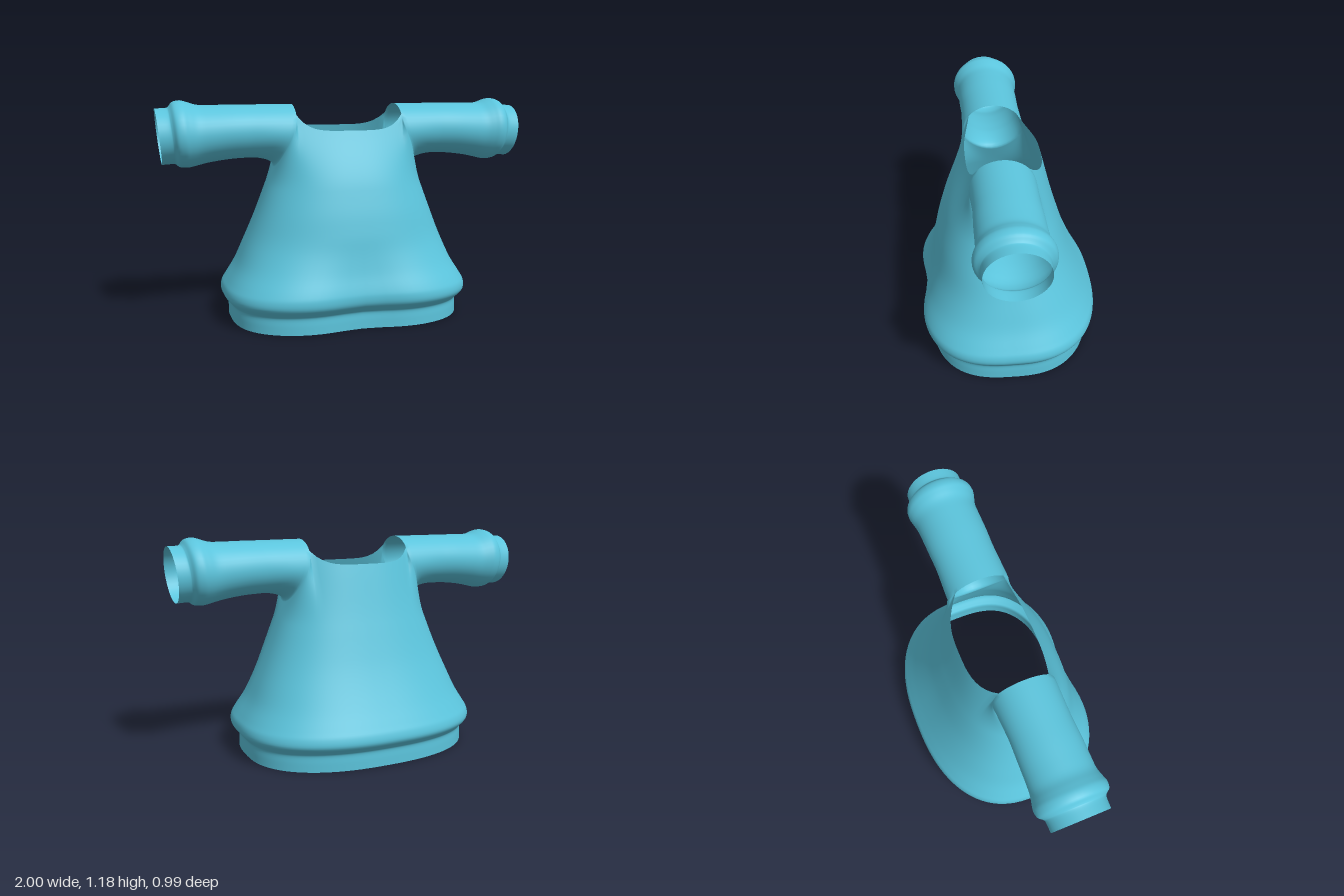
import * as THREE from 'three';
import { mergeGeometries, mergeVertices } from 'three/addons/utils/BufferGeometryUtils.js';

const N = 96;            // columns around the body
const CORNER = 14;       // column where neckline meets sleeve
const TOP_STEPS = 12;    // columns over the shoulder
const CY = 1.017, CZ = 0.047; // sleeve axis
const V = (x, y, z) => new THREE.Vector3(x, y, z);
const smooth = t => t * t * (3 - 2 * t);

// Cubic between two points with given end tangents
function hermite(p, q, tp, tq, t) {
  const t2 = t * t, t3 = t2 * t;
  return V(0, 0, 0)
    .addScaledVector(p, 2 * t3 - 3 * t2 + 1).addScaledVector(tp, t3 - 2 * t2 + t)
    .addScaledVector(q, 3 * t2 - 2 * t3).addScaledVector(tq, t3 - t2);
}

// Sheet from rows of points
function grid(rows, flip = false) {
  const pos = [], index = [], w = rows[0].length;
  rows.forEach(row => row.forEach(p => pos.push(p.x, p.y, p.z)));
  for (let r = 0; r < rows.length - 1; r++) {
    for (let c = 0; c < w - 1; c++) {
      const a = r * w + c, b = a + 1, d = a + w, e = d + 1;
      if (flip) index.push(a, b, d, b, e, d);
      else index.push(a, d, b, b, d, e);
    }
  }
  const g = new THREE.BufferGeometry();
  g.setAttribute('position', new THREE.Float32BufferAttribute(pos, 3));
  g.setIndex(index);
  return g;
}

// Angle round the sleeve: k = 0 is the armpit, +-CORNER the neck corners
function sleeveAngle(k) {
  const deg = k <= CORNER ? 270 + 127 * k / CORNER : 37 + 106 * (k - CORNER) / TOP_STEPS;
  return THREE.MathUtils.degToRad(deg);
}

// Edge where the sleeve starts: armhole below, neck rim above
function armhole(k) {
  const f = sleeveAngle(k);
  const s = smooth(Math.max(0, 1 - Math.abs(k) / CORNER));
  return V(0.29 + 0.1 * s,
    CY + 0.14 * Math.sin(f) * (1 + 0.33 * s * s),
    CZ + 0.165 * Math.cos(f) * (1 + 0.15 * s));
}

// Upper edge of the body: armholes at the sides, neckline front and back
function bodyTop(i) {
  const k = ((i + N / 2) % N) - N / 2;
  const side = Math.abs(k) > N / 4 ? -1 : 1;
  const a = Math.min(Math.abs(k), N / 2 - Math.abs(k));
  const front = k >= 0;
  let p;
  if (a <= CORNER) p = armhole(front ? a : -a);
  else {
    const t = (N / 4 - a) / (N / 4 - CORNER);
    p = front
      ? V(0.29 * t, 1.02 + 0.081 * t ** 5, 0.22 - 0.041 * t ** 3)
      : V(0.29 * t, 1.03 + 0.071 * t ** 5, -0.18 + 0.095 * t ** 3);
  }
  p.x *= side;
  return p;
}

// Body profile: height, half width, front depth, back depth
const PROFILE = [
  [0, 0.635, 0.445, -0.455], [0.045, 0.635, 0.445, -0.455], [0.085, 0.635, 0.445, -0.455],
  [0.105, 0.648, 0.46, -0.468], [0.14, 0.674, 0.49, -0.494], [0.18, 0.672, 0.496, -0.49],
  [0.22, 0.65, 0.486, -0.47], [0.3, 0.603, 0.455, -0.428], [0.4, 0.56, 0.425, -0.38],
  [0.5, 0.518, 0.404, -0.338], [0.6, 0.478, 0.382, -0.303], [0.72, 0.433, 0.348, -0.265],
];
const shapeCurve = new THREE.CatmullRomCurve3(PROFILE.map(p => V(p[1], p[2], p[3])), false, 'catmullrom');
const heightCurve = new THREE.CatmullRomCurve3(PROFILE.map(p => V(0, p[0], 0)), false, 'catmullrom');

function bodyPoint(i, t) {
  const s = shapeCurve.getPoint(t), y = heightCurve.getPoint(t).y;
  const th = (2 * Math.PI * i) / N, c = Math.cos(th), sn = Math.sin(th);
  const low = 1 - THREE.MathUtils.smoothstep(y, 0.12, 0.5);
  const front = sn > 0;
  const n = front ? 2.4 + 0.6 * low : 2.4;
  const mid = (s.y + s.z) / 2;
  const x = s.x * Math.sign(c) * Math.abs(c) ** (2 / n);
  let z = mid + (s.y - mid) * Math.sign(sn) * Math.abs(sn) ** (2 / n);
  // shallow inward wave in the middle of the front hem
  if (front) z += low * sn * (0.015 - 0.045 * Math.exp(-((x / 0.2) ** 2)));
  return V(x, y, z);
}

function bodyGeometry() {
  const rows = [], LOW = 44, HIGH = 14;
  const ring = fn => Array.from({ length: N + 1 }, (_, i) => fn(i % N));
  for (let r = 0; r <= LOW; r++) rows.push(ring(i => bodyPoint(i, r / LOW)));
  for (let r = 1; r <= HIGH; r++) {
    rows.push(ring(i => {
      const p = bodyPoint(i, 1), q = bodyTop(i);
      const chord = q.clone().sub(p);
      const slope = p.clone().sub(bodyPoint(i, 0.97));
      slope.multiplyScalar(chord.y / slope.y);
      return hermite(p, q, slope, chord, r / HIGH);
    }));
  }
  return grid(rows);
}

// Sleeve rings: x, top, bottom, front, back
const RINGS = [
  [0.52, 1.156, 0.878, 0.212, -0.118], [0.62, 1.156, 0.873, 0.216, -0.121],
  [0.72, 1.155, 0.86, 0.217, -0.123], [0.79, 1.157, 0.847, 0.219, -0.127],
  [0.84, 1.172, 0.837, 0.23, -0.137], [0.875, 1.18, 0.834, 0.239, -0.143],
  [0.91, 1.172, 0.838, 0.234, -0.136], [0.93, 1.15, 0.852, 0.212, -0.114],
  [0.945, 1.142, 0.855, 0.205, -0.107], [1.0, 1.14, 0.852, 0.203, -0.104],
];
const ringY = new THREE.CatmullRomCurve3(RINGS.map(r => V(r[0], r[1], r[2])), false, 'catmullrom');
const ringZ = new THREE.CatmullRomCurve3(RINGS.map(r => V(0, r[3], r[4])), false, 'catmullrom');

function sleevePoint(k, t) {
  const f = sleeveAngle(k), a = ringY.getPoint(t), b = ringZ.getPoint(t);
  const sn = Math.sin(f);
  const tilt = 0.028 * THREE.MathUtils.smoothstep(a.x, 0.7, 0.93) * (1 - sn) / 2;
  return V(a.x - tilt, (a.y + a.z) / 2 + sn * (a.y - a.z) / 2,
    (b.y + b.z) / 2 + Math.cos(f) * (b.y - b.z) / 2);
}

function sleeveGeometry(side) {
  const rows = [], ROOT = 10, LONG = 40;
  const ring = fn => Array.from({ length: 2 * CORNER + TOP_STEPS + 1 }, (_, j) => {
    const p = fn(j - CORNER);
    p.x *= side;
    return p;
  });
  // rounded armpit flowing into the sleeve
  for (let r = 0; r < ROOT; r++) {
    rows.push(ring(k => {
      const p = armhole(k), q = sleevePoint(k, 0), len = q.x - p.x;
      const under = Math.max(0, -Math.sin(sleeveAngle(k)));
      return hermite(p, q, V(len * (1 - under), 0.1 * under, 0), V(len, 0, 0), r / ROOT);
    }));
  }
  for (let r = 0; r <= LONG; r++) rows.push(ring(k => sleevePoint(k, r / LONG)));
  return grid(rows, side < 0);
}

export function createModel() {
  const group = new THREE.Group();
  group.name = 'sweater';
  const material = new THREE.MeshStandardMaterial({ color: 0x5bc4dc, side: THREE.DoubleSide });

  // Shared normals keep the shading smooth where body and sleeves join
  const parts = { body: bodyGeometry(), leftSleeve: sleeveGeometry(1), rightSleeve: sleeveGeometry(-1) };
  const whole = mergeVertices(mergeGeometries(Object.values(parts)), 1e-4);
  whole.computeVertexNormals();

  let start = 0;
  for (const [name, part] of Object.entries(parts)) {
    const count = part.index.count;
    const g = whole.clone();
    g.setIndex(Array.from(whole.index.array.slice(start, start + count)));
    start += count;
    const mesh = new THREE.Mesh(g.toNonIndexed(), material);
    mesh.name = name;
    group.add(mesh);
  }
  return group;
}
